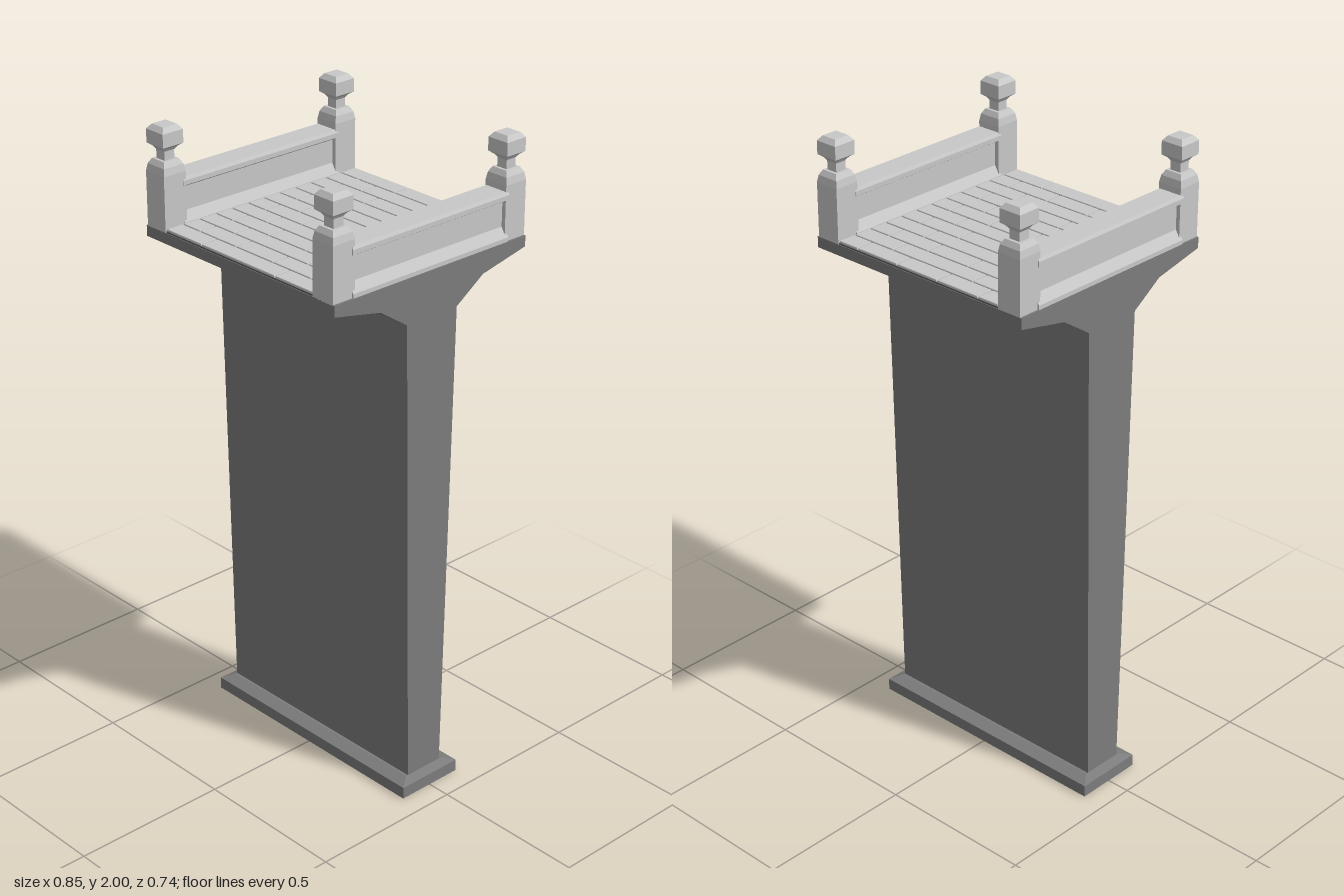
import * as THREE from 'three';

const darkStone = new THREE.MeshStandardMaterial({ color: 0x7c7c7c });
darkStone.name = 'dark stone';
const lightStone = new THREE.MeshStandardMaterial({ color: 0xc8c8c8 });
lightStone.name = 'light stone';
const jointStone = new THREE.MeshStandardMaterial({ color: 0x606060 });
jointStone.name = 'joint';

function add(parent, name, geometry, material, x = 0, y = 0, z = 0) {
  const mesh = new THREE.Mesh(geometry, material);
  mesh.name = name;
  mesh.position.set(x, y, z);
  parent.add(mesh);
  return mesh;
}

// Rectangular rings [halfX, halfZ, y], bottom to top, joined into a closed faceted solid
function stack(rings) {
  const pos = [];
  const corners = rings.map(([a, b, y]) => [[-a, y, b], [a, y, b], [a, y, -b], [-a, y, -b]]);
  const quad = (p, q, r, s) => pos.push(...p, ...q, ...r, ...p, ...r, ...s);
  for (let i = 0; i + 1 < corners.length; i++) {
    const lo = corners[i], hi = corners[i + 1];
    for (let k = 0; k < 4; k++) {
      const n = (k + 1) % 4;
      quad(lo[k], lo[n], hi[n], hi[k]);
    }
  }
  const bottom = corners[0], top = corners[corners.length - 1];
  quad(...top);
  quad(bottom[3], bottom[2], bottom[1], bottom[0]);
  const g = new THREE.BufferGeometry();
  g.setAttribute('position', new THREE.Float32BufferAttribute(pos, 3));
  g.computeVertexNormals();
  return g;
}

// Half profile [offset, height], bottom to top, mirrored and extruded to a centred length
function mirroredExtrusion(half, length) {
  const outline = [...half, ...half.map(([u, y]) => [-u, y]).reverse()];
  const shape = new THREE.Shape(outline.map(([u, y]) => new THREE.Vector2(u, y)));
  const g = new THREE.ExtrudeGeometry(shape, { depth: length, bevelEnabled: false });
  return g.translate(0, 0, -length / 2);
}

export function createModel() {
  const model = new THREE.Group();
  model.name = 'bridgePier';

  // Foot with sloped shoulders
  add(model, 'foot', stack([[0.425, 0.112, 0], [0.425, 0.112, 0.038], [0.397, 0.075, 0.05]]), darkStone);

  // Flared pier carrying the deck
  const pier = mirroredExtrusion([
    [0.066, 0.04], [0.097, 1.553], [0.2, 1.622], [0.37, 1.658], [0.37, 1.692],
  ], 0.794).rotateY(Math.PI / 2);
  add(model, 'pier', pier, darkStone);

  // Paving in running bond over a thin dark bed
  const paving = new THREE.Group();
  paving.name = 'paving';
  model.add(paving);
  add(paving, 'jointBed', new THREE.BoxGeometry(0.62, 0.006, 0.736), jointStone, 0, 1.694, 0);
  const rows = 12, pitch = 0.74 / rows, gap = 0.005;
  for (let r = 0; r < rows; r++) {
    const joints = r % 2 ? [-0.31, -0.155, 0.155, 0.31] : [-0.31, -0.234, -0.078, 0.078, 0.234, 0.31];
    const z = -0.37 + (r + 0.5) * pitch;
    for (let i = 0; i + 1 < joints.length; i++) {
      const hx = (joints[i + 1] - joints[i] - gap) / 2, hz = (pitch - gap) / 2;
      const brick = stack([[hx, hz, 0], [hx, hz, 0.011], [hx - 0.001, hz - 0.001, 0.013]]);
      add(paving, 'pavingBrick', brick, lightStone, (joints[i] + joints[i + 1]) / 2, 1.691, z);
    }
  }

  // Parapets with sloped plinth, recessed wall and coping
  const parapet = mirroredExtrusion([
    [0.044, 1.692], [0.044, 1.705], [0.026, 1.735], [0.026, 1.808],
    [0.043, 1.818], [0.043, 1.832], [0.038, 1.842],
  ], 0.6);

  // Corner posts with shoulder, neck and square finial
  const post = stack([
    [0.04, 1.69], [0.04, 1.86], [0.036, 1.882], [0.027, 1.898], [0.018, 1.898],
    [0.018, 1.925], [0.025, 1.935], [0.037, 1.944], [0.037, 1.985], [0.025, 2.0],
  ].map(([h, y]) => [h, h, y]));

  for (const sx of [-1, 1]) {
    const side = sx > 0 ? 'left' : 'right';
    add(model, side + 'Parapet', parapet, lightStone, sx * 0.352);
    for (const sz of [-1, 1]) {
      add(model, side + (sz > 0 ? 'FrontPost' : 'BackPost'), post, lightStone, sx * 0.351, 0, sz * 0.33);
    }
  }
  return model;
}
